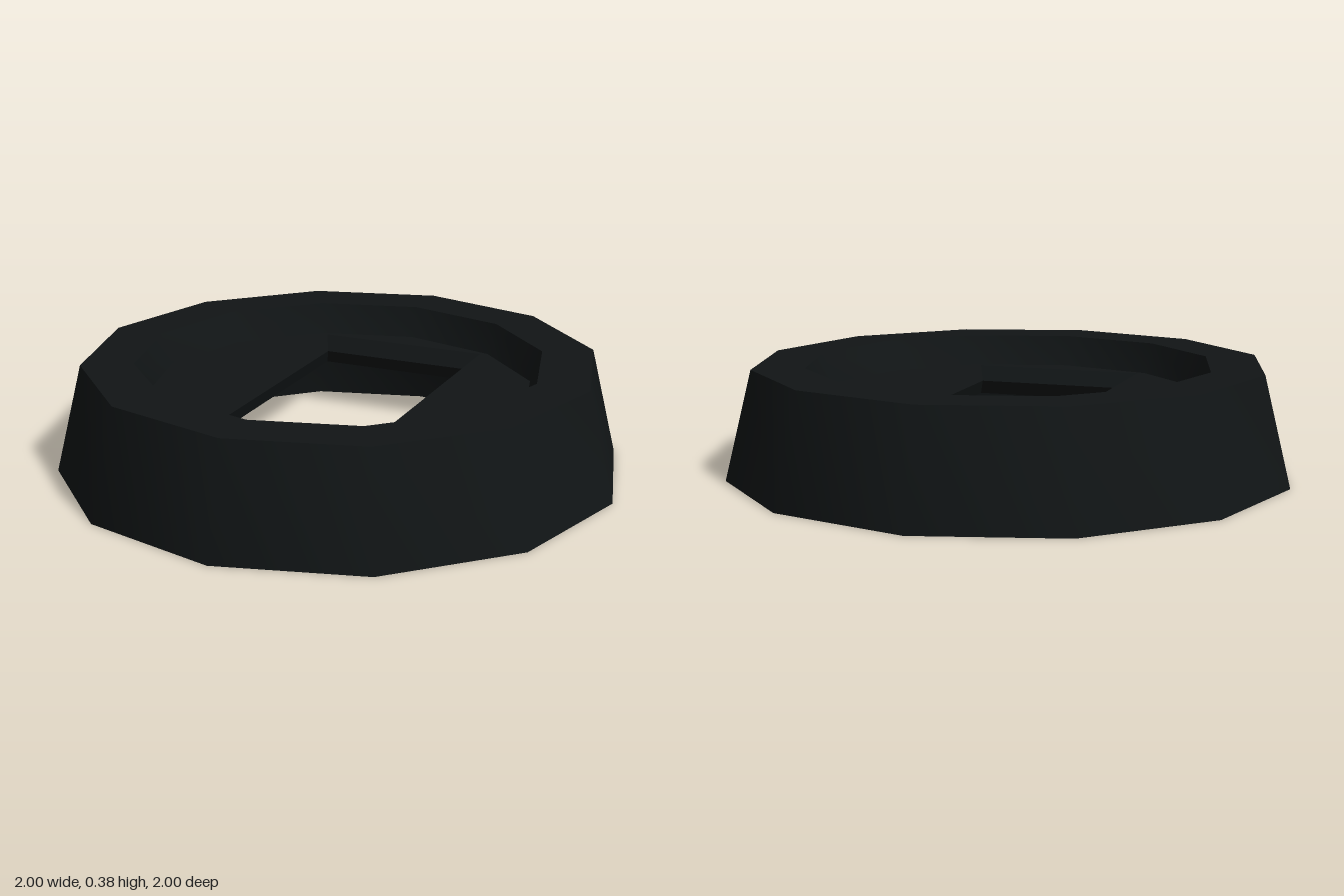
import * as THREE from 'three';
import { toCreasedNormals } from 'three/addons/utils/BufferGeometryUtils.js';

const SIDES = 12;
const CREASE = 0.6;
const PLATE_TOP = 0.275, PLATE_MID = 0.22, PLATE_BOTTOM = 0.165;
const SLOT_X = 0.295, SLOT_Z = 0.54, FLARE = 1.07; // half sizes at the waist, and edge flare

const material = new THREE.MeshStandardMaterial({ color: 0x111516 });

function addMesh(group, name, geometry) {
  const mesh = new THREE.Mesh(toCreasedNormals(geometry, CREASE), material);
  mesh.name = name;
  group.add(mesh);
  return mesh;
}

const profile = (pairs) => pairs.map(([r, y]) => new THREE.Vector2(r, y));

// Twelve-sided face with a rectangular slot
function plateFace(radius) {
  const corners = [];
  for (let i = 0; i < SIDES; i++) {
    const a = (i / SIDES) * Math.PI * 2;
    corners.push(new THREE.Vector2(Math.cos(a) * radius, Math.sin(a) * radius));
  }
  const shape = new THREE.Shape(corners);
  const x = SLOT_X * FLARE, z = SLOT_Z * FLARE;
  shape.holes.push(new THREE.Path(profile([[-x, -z], [-x, z], [x, z], [x, -z]])));
  return new THREE.ShapeGeometry(shape);
}

export function createModel() {
  const group = new THREE.Group();
  group.name = 'slottedRing';

  // Tapered ring with a recess above and below the plate
  addMesh(group, 'ring', new THREE.LatheGeometry(profile([
    [0.755, PLATE_BOTTOM], [0.785, 0], [1, 0],
    [0.905, 0.385], [0.72, 0.385], [0.68, PLATE_TOP],
  ]), SIDES));

  // Plate across the middle of the ring
  const plate = new THREE.Group();
  plate.name = 'plate';
  group.add(plate);
  addMesh(plate, 'plateTop', plateFace(0.68).rotateX(-Math.PI / 2).translate(0, PLATE_TOP, 0));
  addMesh(plate, 'plateUnderside', plateFace(0.755).rotateX(Math.PI / 2).translate(0, PLATE_BOTTOM, 0));

  // Slot walls, narrowest at mid thickness
  const r = Math.SQRT2;
  const walls = new THREE.LatheGeometry(profile([
    [r * FLARE, PLATE_TOP], [r, PLATE_MID], [r * FLARE, PLATE_BOTTOM],
  ]), 4, Math.PI / 4);
  addMesh(plate, 'slotWalls', walls.scale(SLOT_X, 1, SLOT_Z));

  return group;
}
